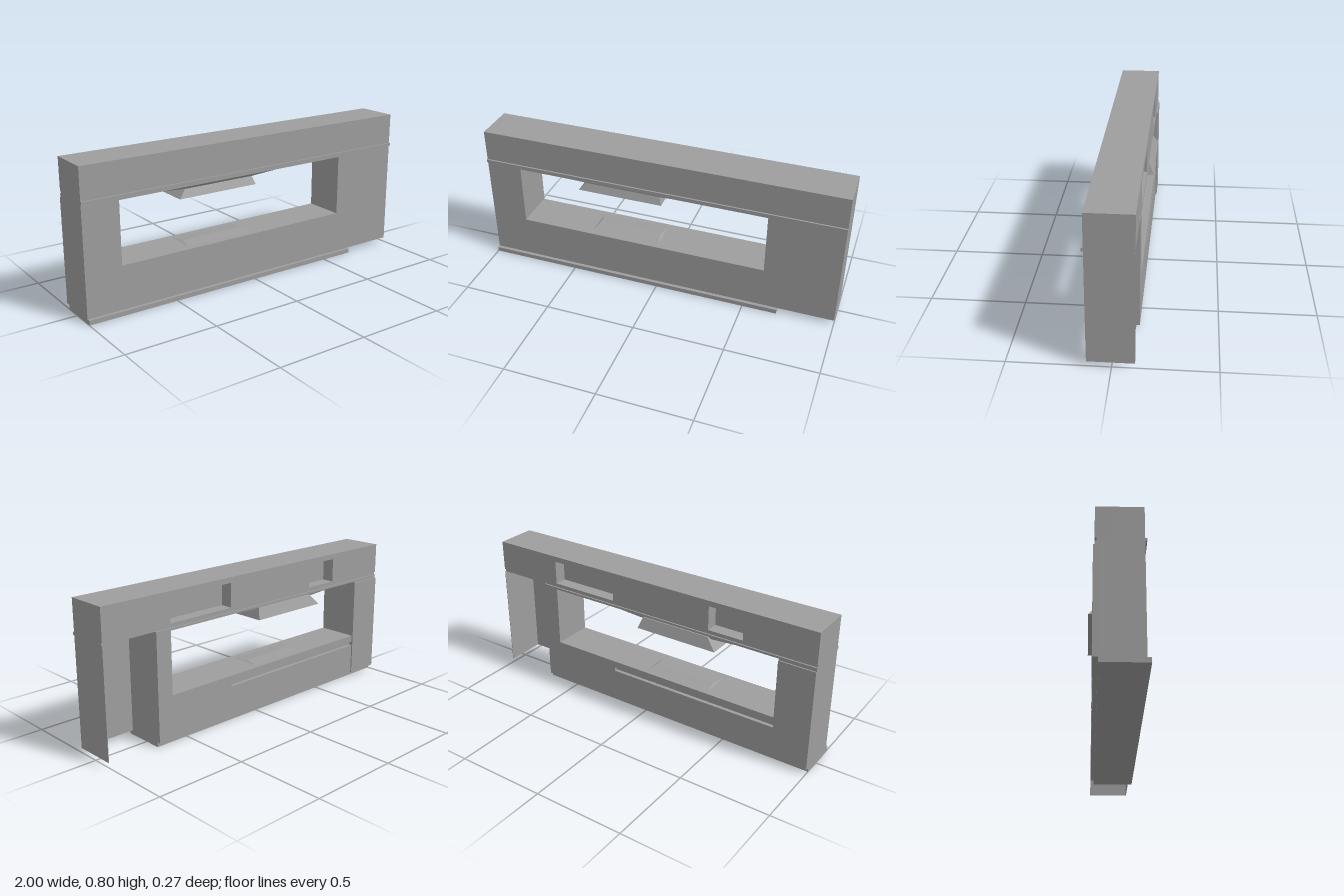
import * as THREE from 'three';

const material = new THREE.MeshStandardMaterial({ color: 0x9d9d9d });

export function createModel() {
  const group = new THREE.Group();

  const add = (name, geometry) => {
    const mesh = new THREE.Mesh(geometry, material);
    mesh.name = name;
    group.add(mesh);
  };

  // Box given by its limits on each axis
  const box = (name, x0, x1, y0, y1, z0, z1) => {
    const g = new THREE.BoxGeometry(x1 - x0, y1 - y0, z1 - z0);
    g.translate((x0 + x1) / 2, (y0 + y1) / 2, (z0 + z1) / 2);
    add(name, g);
  };

  // Rectangular slab with rectangular openings, extruded along z
  const slab = (name, [x0, x1, y0, y1], holes, z0, z1) => {
    const trace = (path, a, b, c, d) =>
      path.moveTo(a, c).lineTo(b, c).lineTo(b, d).lineTo(a, d).closePath();
    const shape = new THREE.Shape();
    trace(shape, x0, x1, y0, y1);
    for (const h of holes) {
      const hole = new THREE.Path();
      trace(hole, ...h);
      shape.holes.push(hole);
    }
    const g = new THREE.ExtrudeGeometry(shape, { depth: z1 - z0, bevelEnabled: false });
    g.translate(0, 0, z0);
    add(name, g);
  };

  // Box whose bottom and top rectangles [x0, x1, z0, z1] differ
  const frustum = (name, y0, y1, bottom, top) => {
    const g = new THREE.BoxGeometry(1, 1, 1);
    const p = g.attributes.position;
    for (let i = 0; i < p.count; i++) {
      const r = p.getY(i) > 0 ? top : bottom;
      p.setXYZ(i, r[p.getX(i) > 0 ? 1 : 0], p.getY(i) > 0 ? y1 : y0, r[p.getZ(i) > 0 ? 3 : 2]);
    }
    g.computeVertexNormals();
    add(name, g);
  };

  const back = -0.11, front = 0.119;

  // Lower wall with the long window, and a narrow groove across its back
  const wall = [-1, 0.69, 0.025, 0.61];
  const opening = [-0.8, 0.6, 0.26, 0.598];
  slab('windowWall', wall, [opening], back + 0.02, front);
  slab('groovedBackLayer', wall, [opening, [-0.8, 0.2, 0.2, 0.222]], back, back + 0.02);
  box('rearPillarPanel', -1, -0.8, 0.025, 0.59, -0.117, back);

  // Bay open to the back and below, closed by a thin front and end
  box('bayFront', 0.69, 1, 0.025, 0.61, front - 0.003, front);
  box('bayEnd', 0.997, 1, 0.025, 0.61, back, front);

  // Base strip and string course, both set slightly forward
  box('baseStrip', -1, 0.69, 0, 0.025, -0.091, 0.138);
  box('stringCourse', -1, 1, 0.61, 0.626, -0.102, 0.128);

  // Header with two recesses in its back
  const header = [-1, 1, 0.626, 0.797];
  slab('header', header, [], back + 0.07, front);
  slab('recessedHeaderBack', header,
    [[0.2, 0.6, 0.635, 0.767], [-0.6, -0.4, 0.635, 0.767]], back, back + 0.07);

  // Flared hood under the lintel, with the soffit sloping towards it
  frustum('soffit', 0.582, 0.6, [-0.4, 0, -0.1, 0.1], [-0.62, 0.22, -0.107, 0.115]);
  frustum('hood', 0.535, 0.595, [-0.455, 0.02, -0.136, 0.11], [-0.4, 0, -0.112, 0.085]);

  // Low raised ridge on the sill
  frustum('sillRidge', 0.258, 0.267, [-0.4, 0, -0.1, 0.1], [-0.38, -0.02, -0.01, 0.01]);

  return group;
}
